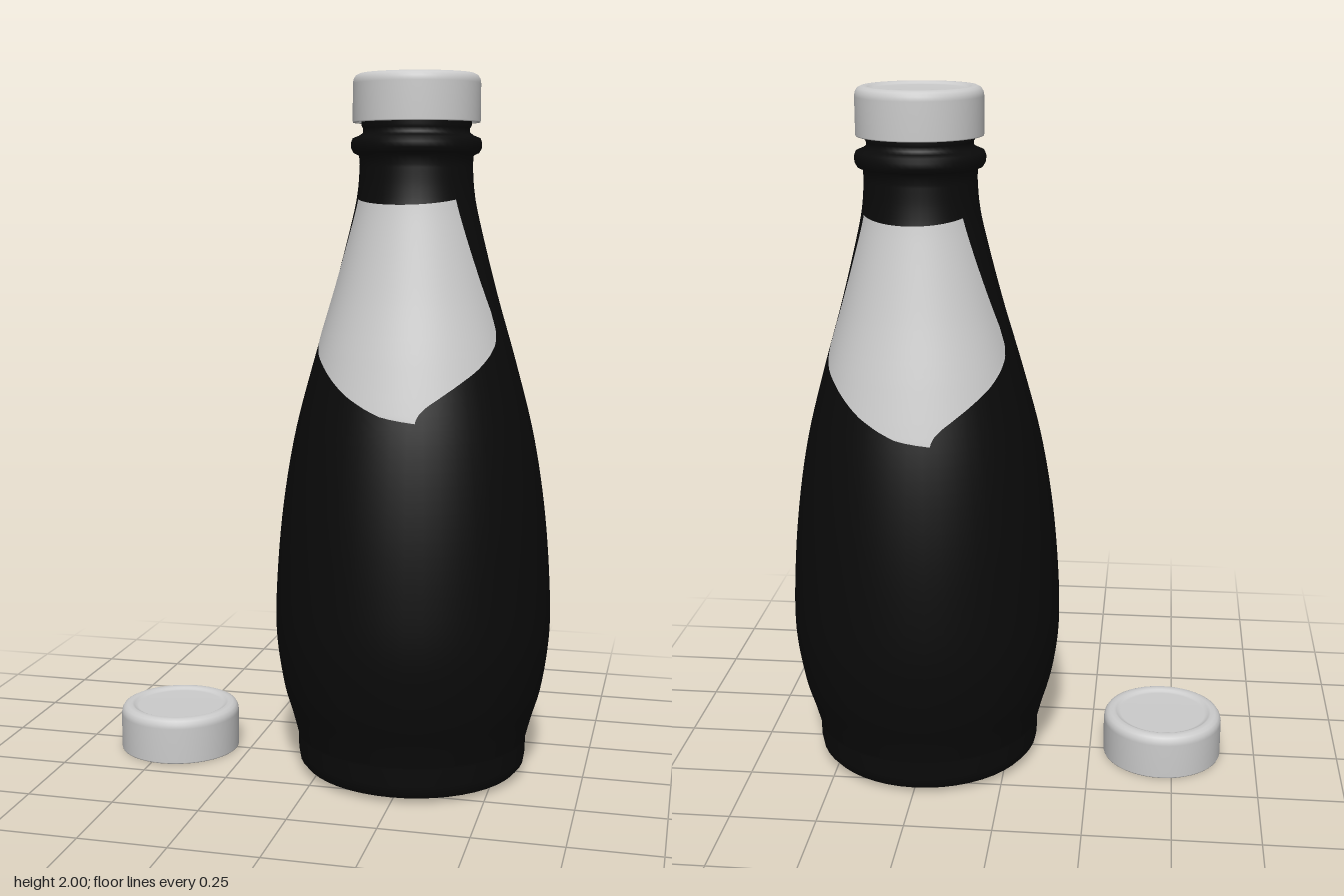
import * as THREE from 'three';

const V = (x, y) => new THREE.Vector2(x, y);
const SEGMENTS = 48;

// Body outline (radius, height), smoothed from the foot up to the neck
const bodyOutline = new THREE.SplineCurve([
  V(0.333, 0.105), V(0.35, 0.17), V(0.378, 0.27), V(0.397, 0.42), V(0.392, 0.6), V(0.373, 0.8),
  V(0.339, 1.0), V(0.287, 1.2), V(0.229, 1.4), V(0.178, 1.6), V(0.163, 1.68), V(0.158, 1.75),
]).getPoints(60);

// Linear look-up in a list of [key, value] pairs with ascending keys
function lookUp(table, key) {
  let i = 1;
  while (i < table.length - 1 && table[i][0] < key) i++;
  const [k0, v0] = table[i - 1], [k1, v1] = table[i];
  return THREE.MathUtils.lerp(v0, v1, THREE.MathUtils.clamp((key - k0) / (k1 - k0), 0, 1));
}
const radiusTable = bodyOutline.map((p) => [p.y, p.x]);

function makeBottle(material) {
  const foot = [V(0, 0.035), V(0.2, 0.032), V(0.265, 0.018), V(0.295, 0.012), V(0.315, 0.017),
    V(0.328, 0.032), V(0.332, 0.055)];
  const neck = [V(0.16, 1.775), V(0.175, 1.782), V(0.182, 1.795), V(0.183, 1.81), V(0.178, 1.823),
    V(0.16, 1.83), V(0.149, 1.838), V(0.149, 1.85), V(0.154, 1.858), V(0.154, 1.955),
    V(0.148, 1.965), V(0.138, 1.965), V(0.132, 1.955), V(0.132, 1.75)];
  const mesh = new THREE.Mesh(new THREE.LatheGeometry([...foot, ...bodyOutline, ...neck], SEGMENTS), material);
  mesh.name = 'bottle';
  return mesh;
}

// Label edges: [height, angle in degrees from the label's middle]
const leftEdge = [[1.065, 11], [1.072, 2], [1.08, -6], [1.1, -15], [1.13, -27], [1.175, -42],
  [1.2, -51], [1.23, -64], [1.255, -71], [1.285, -74], [1.35, -73], [1.655, -61]];
const rightEdge = [[1.065, 11], [1.075, 11.5], [1.09, 13], [1.11, 17], [1.14, 26], [1.17, 36],
  [1.2, 47], [1.235, 58], [1.265, 66], [1.3, 69.5], [1.35, 69], [1.655, 51]];

function makeLabel(material, name) {
  const rows = 48, cols = 32, bottom = 1.065, top = 1.655;
  const geometry = new THREE.PlaneGeometry(1, 1, cols, rows);
  const position = geometry.attributes.position;
  for (let i = 0; i < position.count; i++) {
    const s = position.getX(i) + 0.5, t = position.getY(i) + 0.5;
    const row = bottom + (top - bottom) * t * (0.4 + 0.6 * t);
    const angle = THREE.MathUtils.degToRad(
      THREE.MathUtils.lerp(lookUp(leftEdge, row), lookUp(rightEdge, row), s));
    // the upper edge sags a little in the middle
    const y = row - 0.014 * 4 * s * (1 - s) * t ** 8;
    const r = lookUp(radiusTable, y) + 0.002;
    position.setXYZ(i, r * Math.sin(angle), y, r * Math.cos(angle));
  }
  geometry.computeVertexNormals();
  const mesh = new THREE.Mesh(geometry, material);
  mesh.name = name;
  return mesh;
}

// Hollow screw cap with a rounded rim and a shallow dished top
function makeCap(material, name) {
  const profile = [V(0, 0.112), V(0.16, 0.112), V(0.168, 0.108), V(0.17, 0.1), V(0.17, 0.003),
    V(0.171, 0), V(0.177, 0), V(0.178, 0.003), V(0.178, 0.106), V(0.176, 0.118), V(0.17, 0.128),
    V(0.16, 0.133), V(0.147, 0.134), V(0.14, 0.131), V(0.135, 0.127), V(0.127, 0.125), V(0, 0.125)];
  const mesh = new THREE.Mesh(new THREE.LatheGeometry(profile, SEGMENTS), material);
  mesh.name = name;
  return mesh;
}

export function createModel() {
  const grey = new THREE.MeshStandardMaterial({ color: 0xcccccc });
  const labelGrey = new THREE.MeshStandardMaterial({ color: 0xcccccc, side: THREE.DoubleSide });
  const black = new THREE.MeshStandardMaterial({ color: 0x0a0a0a, side: THREE.DoubleSide });

  const model = new THREE.Group();
  model.name = 'bottleWithSpareCap';

  // Standing bottle with its labels and cap
  const standing = new THREE.Group();
  standing.name = 'cappedBottle';
  standing.position.x = 0.247;
  const backLabel = makeLabel(labelGrey, 'backLabel');
  backLabel.rotation.y = Math.PI;
  const cap = makeCap(grey, 'bottleCap');
  cap.position.y = 1.866;
  standing.add(makeBottle(black), makeLabel(labelGrey, 'frontLabel'), backLabel, cap);

  // Spare cap lying beside the bottle
  const spareCap = makeCap(grey, 'spareCap');
  spareCap.position.set(-0.469, 0.003, 0.011);

  model.add(standing, spareCap);
  return model;
}
